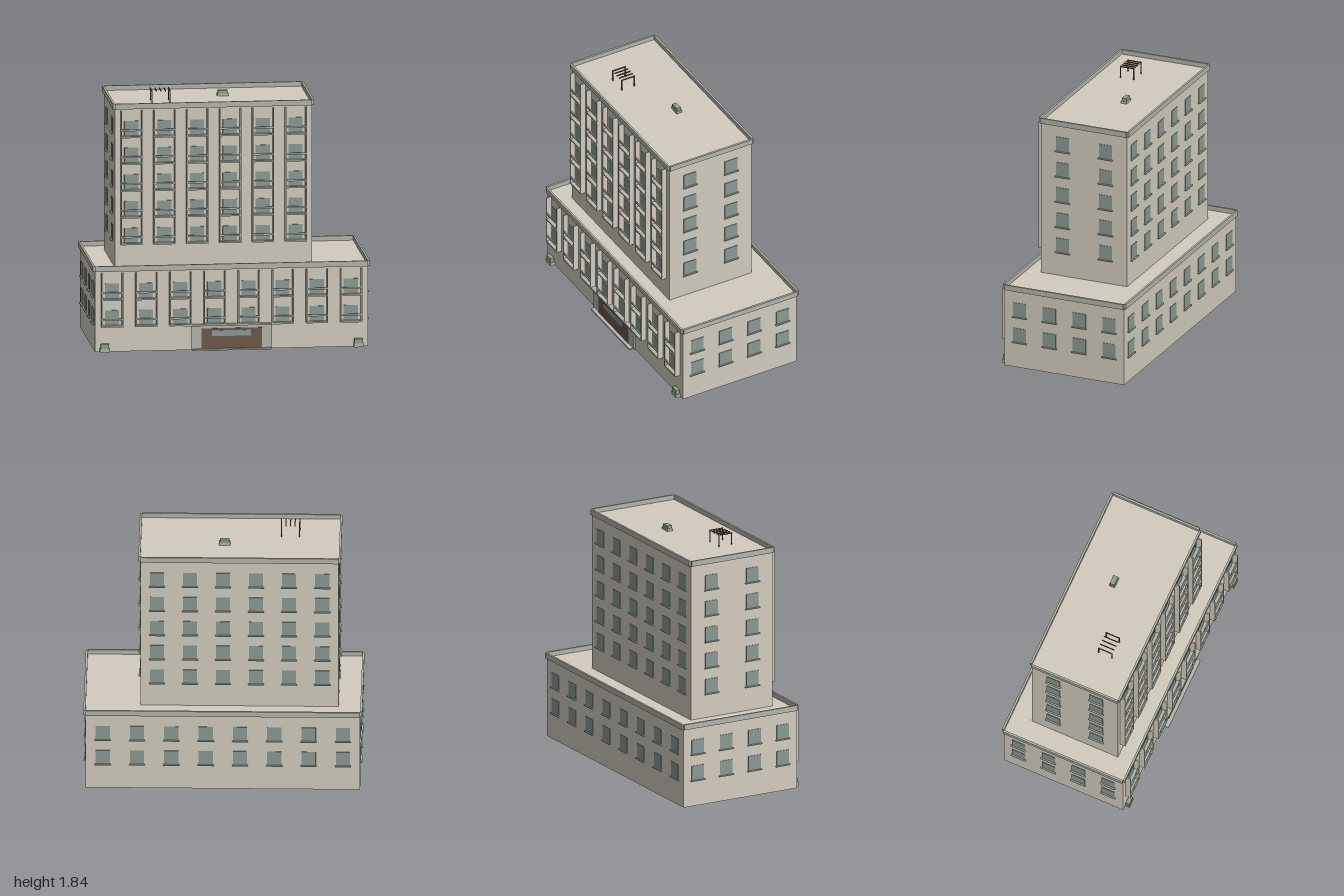
import * as THREE from 'three';

const mat = (color) => new THREE.MeshStandardMaterial({ color });
const WALL = mat(0xd2ccbe), TRIM = mat(0xb3b6ab), GLASS = mat(0x8a9993);
const BROWN = mat(0x6b5848), GREEN = mat(0x8fa580);

// Box given by its centre in x and z and its bottom in y
function box(parent, name, material, w, h, d, x, y, z) {
  const mesh = new THREE.Mesh(new THREE.BoxGeometry(w, h, d), material);
  mesh.name = name;
  mesh.position.set(x, y + h / 2, z);
  parent.add(mesh);
}

function group(parent, name, x = 0, y = 0, z = 0) {
  const g = new THREE.Group();
  g.name = name;
  g.position.set(x, y, z);
  parent.add(g);
  return g;
}

const WIN_W = 0.102, WIN_H = 0.108, STOREY = 0.195;

// One wall of windows, built facing +z; bays adds fins, slabs and rails
function facade(parent, name, width, cols, rows, firstY, bays) {
  const g = group(parent, name);
  for (let c = 0; c < cols; c++) {
    const x = (c + 0.5 - cols / 2) * (width / cols);
    for (let r = 0; r < rows; r++) {
      const y = firstY + r * STOREY;
      box(g, 'window', GLASS, WIN_W, WIN_H, 0.006, x, y, 0.001);
      if (bays) {
        box(g, 'balconySlab', TRIM, 0.156, 0.011, 0.04, x, y - 0.011, 0.02);
        box(g, 'balconyRail', TRIM, 0.15, 0.012, 0.008, x, y + 0.039, 0.035);
      } else {
        box(g, 'windowSill', TRIM, 0.116, 0.008, 0.015, x, y - 0.008, 0.0065);
      }
    }
    if (bays) {
      const top = firstY + (rows - 1) * STOREY + 0.185;
      for (const s of [-1, 1]) {
        box(g, 'bayFin', WALL, 0.009, top - firstY + 0.008, 0.039, x + s * 0.0745, firstY - 0.008, 0.0195);
      }
    }
  }
  return g;
}

// Building block with a parapet band outside the wall tops and four facades
function block(parent, name, { w, d, x, z, y0, y1, cols, sideCols, rows, firstY }) {
  const g = group(parent, name, x, 0, z);
  box(g, 'walls', WALL, w, y1 - y0, d, 0, y0, 0);
  const t = 0.015, h = 0.04, py = y1 - 0.006;
  for (const s of [-1, 1]) {
    box(g, 'parapet', TRIM, w, h, t, 0, py, s * (d + t) / 2);
    box(g, 'parapet', TRIM, t, h, d, s * (w + t) / 2, py, 0);
  }
  facade(g, 'frontFacade', w, cols, rows, firstY, true).position.z = d / 2;
  const back = facade(g, 'backFacade', w, cols, rows, firstY, false);
  back.position.z = -d / 2;
  back.rotation.y = Math.PI;
  for (const s of [-1, 1]) {
    const side = facade(g, s > 0 ? 'leftFacade' : 'rightFacade', d, sideCols, rows, firstY, false);
    side.position.x = s * w / 2;
    side.rotation.y = s * Math.PI / 2;
  }
}

// Trough with a clipped hedge
function planter(parent, name, w, d, h, x, y, z) {
  const g = group(parent, name, x, y, z);
  box(g, 'trough', TRIM, w, h * 0.45, d, 0, 0, 0);
  box(g, 'hedge', GREEN, w * 0.86, h * 0.55, d * 0.8, 0, h * 0.45, 0);
}

export function createModel() {
  const model = new THREE.Group();
  model.name = 'building';
  const roof = 1.752, front = 0.455;

  block(model, 'podium', {
    w: 1.966, d: 0.935, x: 0, z: -0.0125, y0: 0, y1: 0.591,
    cols: 8, sideCols: 4, rows: 2, firstY: 0.194,
  });
  block(model, 'tower', {
    w: 1.42, d: 0.675, x: -0.117, z: 0.0075, y0: 0.58, y1: roof,
    cols: 6, sideCols: 2, rows: 5, firstY: 0.771,
  });

  // Entrance with step, door, transom and canopy
  const entrance = group(model, 'entrance', 0, 0, front);
  box(entrance, 'surround', TRIM, 0.585, 0.18, 0.012, 0, 0, 0.006);
  box(entrance, 'door', BROWN, 0.435, 0.147, 0.008, 0, 0.01, 0.012);
  box(entrance, 'transomWindow', GLASS, 0.28, 0.042, 0.008, 0, 0.1, 0.0145);
  box(entrance, 'step', TRIM, 0.56, 0.01, 0.042, 0, 0, 0.021);
  box(entrance, 'canopy', TRIM, 0.705, 0.011, 0.036, 0, 0.178, 0.018);

  // Planters at the front corners and on the roof
  for (const s of [-1, 1]) planter(model, 'cornerPlanter', 0.07, 0.036, 0.06, s * 0.914, 0, front + 0.018);
  planter(model, 'roofPlanter', 0.08, 0.044, 0.04, -0.006, roof, -0.054);

  // Roof pergola: five slats, legs under the outer two
  const pergola = group(model, 'pergola', -0.475, roof, 0.118);
  for (let i = -2; i <= 2; i++) {
    const x = i * 0.0325;
    box(pergola, 'slat', BROWN, 0.007, 0.008, 0.112, x, 0.083, 0);
    if (Math.abs(i) === 2) {
      for (const s of [-1, 1]) box(pergola, 'leg', BROWN, 0.007, 0.084, 0.007, x, 0, s * 0.0515);
    }
  }
  return model;
}
